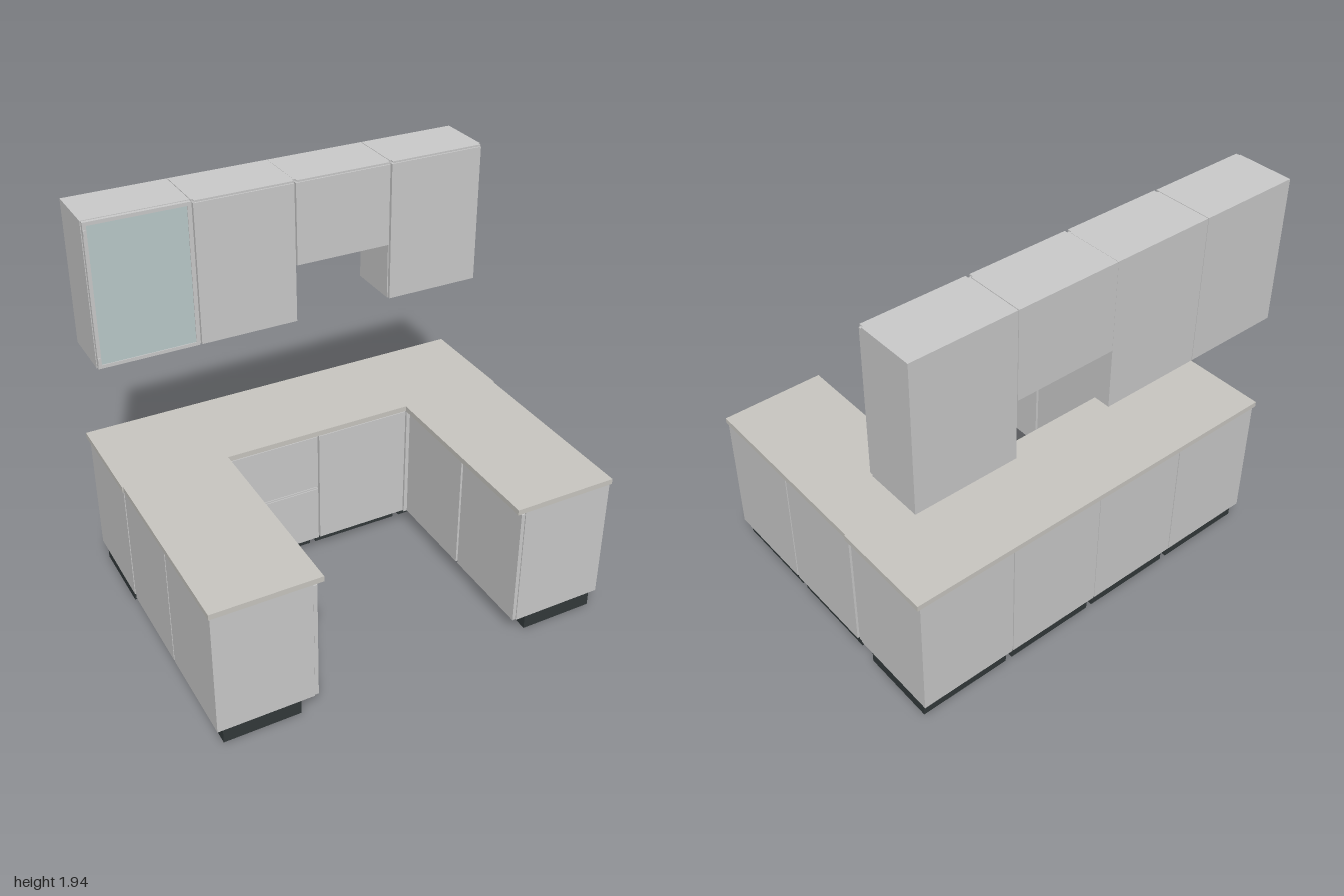
import * as THREE from 'three';

const grey = new THREE.MeshStandardMaterial({ color: 0xcccccc });
const stone = new THREE.MeshStandardMaterial({ color: 0xcac8c2 });
const dark = new THREE.MeshStandardMaterial({ color: 0x333a3b });
const glass = new THREE.MeshStandardMaterial({ color: 0xbccccc });

// Box given by its extents on each axis
function box(parent, name, [x0, x1], [y0, y1], [z0, z1], material = grey) {
  const mesh = new THREE.Mesh(new THREE.BoxGeometry(x1 - x0, y1 - y0, z1 - z0), material);
  mesh.position.set((x0 + x1) / 2, (y0 + y1) / 2, (z0 + z1) / 2);
  mesh.name = name;
  parent.add(mesh);
}

function group(parent, name, x = 0, z = 0, turn = 0) {
  const g = new THREE.Group();
  g.name = name;
  g.position.set(x, 0, z);
  g.rotation.y = turn;
  parent.add(g);
  return g;
}

// Door or drawer front with a bent grip rail along its top edge
function addFront(parent, name, w, y0, y1, z) {
  const x = [-w / 2, w / 2];
  const rail = [-w / 2 + 0.004, w / 2 - 0.004];
  box(parent, name, x, [y0, y1 - 0.012], [z + 0.002, z + 0.02]);
  box(parent, 'gripRailTop', rail, [y1 - 0.004, y1], [z - 0.015, z + 0.02]);
  box(parent, 'gripRailLip', rail, [y1 - 0.009, y1 - 0.004], [z + 0.016, z + 0.02]);
}

// Glazed door: four frame bars around a pane
function addGlassDoor(parent, w, y0, y1, z) {
  const h = w / 2, t = 0.017, d = [z + 0.002, z + 0.02];
  for (const s of [-1, 1]) {
    const xs = s < 0 ? [-h, -h + t] : [h - t, h];
    const ys = s < 0 ? [y0, y0 + t] : [y1 - t, y1];
    box(parent, 'glassDoorStile', xs, [y0, y1], d);
    box(parent, 'glassDoorRail', [-h + t, h - t], ys, d);
  }
  box(parent, 'glassPane', [-h + t, h - t], [y0 + t, y1 - t], [z + 0.006, z + 0.016], glass);
  for (const y of [y0 + 0.04, y1 - 0.05]) {
    box(parent, 'hinge', [-h, -h + 0.012], [y - 0.015, y + 0.015], [z, z + 0.027]);
  }
}

// Floor cabinet: back at local z = 0, fronts facing local +z
function addBase(parent, name, x, z, turn, width, depth, drawers = false) {
  const g = group(parent, name, x, z, turn);
  const h = width / 2;
  box(g, 'plinth', [-0.23, 0.23], [0, 0.085], [0.03, depth - 0.06], dark);
  box(g, 'carcass', [-h, h], [0.085, 0.713], [0, depth]);
  if (drawers) {
    addFront(g, 'lowerDrawer', width - 0.006, 0.088, 0.402, depth);
    addFront(g, 'upperDrawer', width - 0.006, 0.405, 0.71, depth);
  } else {
    addFront(g, 'door', width - 0.006, 0.088, 0.71, depth);
  }
}

export function createModel() {
  const model = new THREE.Group();
  model.name = 'kitchen';

  // Back row of floor cabinets
  [-0.74, -0.246, 0.246, 0.74].forEach((x, i) =>
    addBase(model, 'backCabinet', x, -0.742, 0, 0.489, 0.47, i === 1));

  // Side wings, with fronts facing into the U, and fillers at the inner corners
  for (const s of [-1, 1]) {
    for (const z of [0, 0.495]) {
      addBase(model, 'wingCabinet', s * 0.987, z, -s * Math.PI / 2, 0.486, 0.46);
    }
    const filler = s < 0 ? [-0.525, -0.49] : [0.49, 0.525];
    box(model, 'cornerFiller', filler, [0.085, 0.71], [-0.265, -0.243]);
  }

  // Worktop in three slabs
  box(model, 'backWorktop', [-1, 1], [0.713, 0.74], [-0.747, -0.236], stone);
  for (const s of [-1, 1]) {
    const x = s < 0 ? [-0.994, -0.48] : [0.48, 0.994];
    box(model, 'wingWorktop', x, [0.713, 0.74], [-0.236, 0.745], stone);
  }

  // Wall cabinets, one of them short and one glazed
  [-0.74, -0.246, 0.246, 0.74].forEach((x, i) => {
    const g = group(model, 'wallCabinet', x, -0.745);
    const bottom = i === 2 ? 1.522 : 1.235;
    box(g, 'carcass', [-0.2455, 0.2455], [bottom, 1.94], [0, 0.273]);
    if (i === 0) addGlassDoor(g, 0.485, bottom + 0.003, 1.938, 0.273);
    else addFront(g, 'door', 0.484, bottom + 0.003, 1.94, 0.273);
  });
  return model;
}
